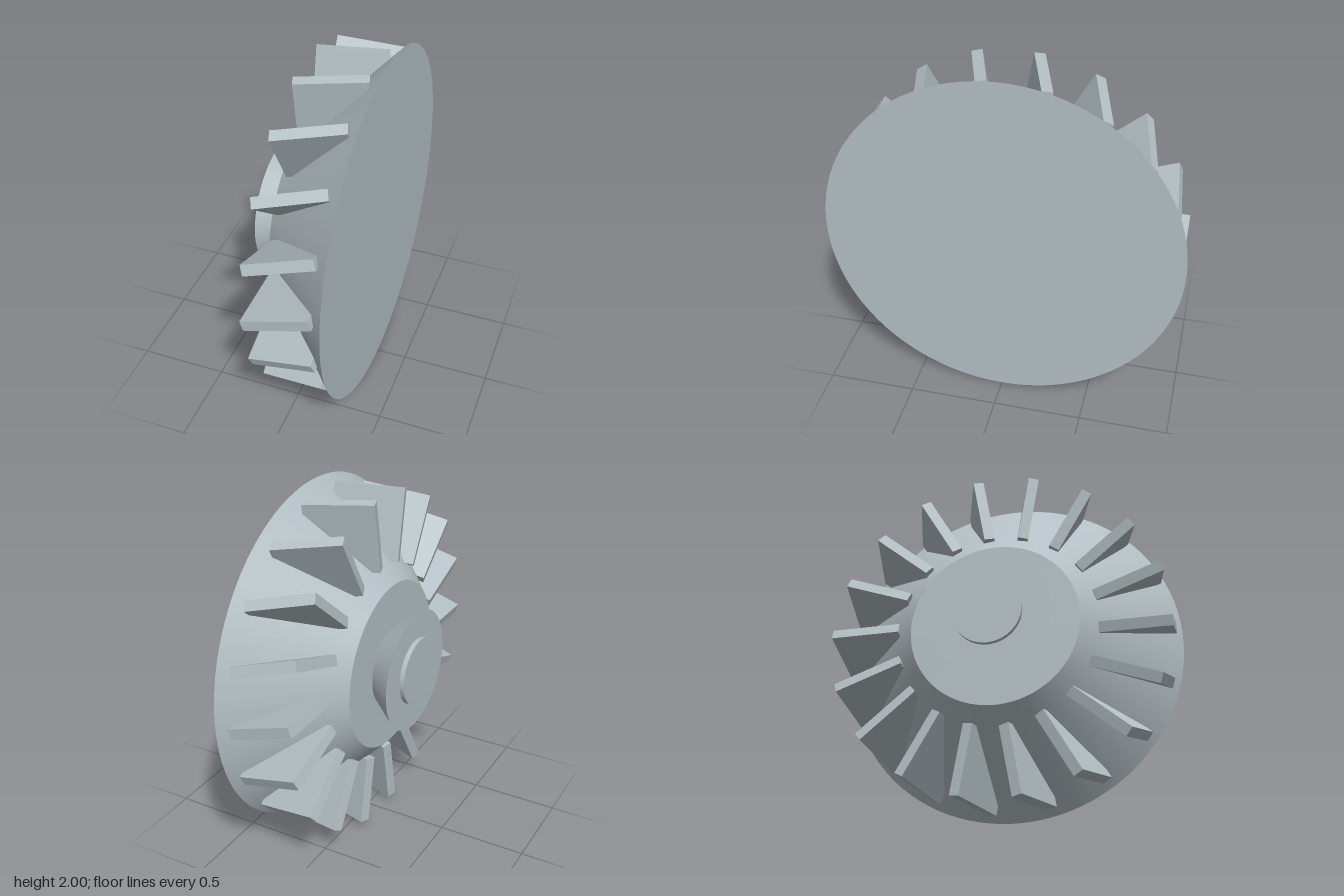
import * as THREE from 'three';

// Bladed wheel whose axis runs along x, at height 1
export function createModel() {
  const model = new THREE.Group();
  model.name = 'bladedWheel';
  const metal = new THREE.MeshStandardMaterial({ color: 0xb4c0c5 });
  metal.name = 'grey metal';

  const wheel = new THREE.Group();
  wheel.name = 'wheel';
  wheel.position.y = 1;
  model.add(wheel);

  // Round section between x0 (radius r0) and x1 (radius r1)
  function section(name, x0, r0, x1, r1) {
    const geometry = new THREE.CylinderGeometry(r1, r0, x1 - x0, 96);
    geometry.rotateZ(-Math.PI / 2);
    const mesh = new THREE.Mesh(geometry, metal);
    mesh.name = name;
    mesh.position.x = (x0 + x1) / 2;
    wheel.add(mesh);
  }
  section('conicalBody', -0.157, 0.48, 0.324, 1);
  section('flaredHub', -0.3, 0.345, -0.157, 0.233);
  section('hubCap', -0.326, 0.19, -0.3, 0.19);

  // Eighteen pitched blades standing on the cone
  const count = 18, innerR = 0.57, outerR = 0.97;
  const bladeGeometry = new THREE.BoxGeometry(0.385, 0.06, outerR - innerR);
  bladeGeometry.rotateZ(THREE.MathUtils.degToRad(18));
  bladeGeometry.translate(0.077, 0, (innerR + outerR) / 2);
  for (let i = 0; i < count; i++) {
    const blade = new THREE.Mesh(bladeGeometry, metal);
    blade.name = 'blade' + (i + 1);
    blade.rotation.x = (i / count) * Math.PI * 2;
    wheel.add(blade);
  }
  return model;
}
